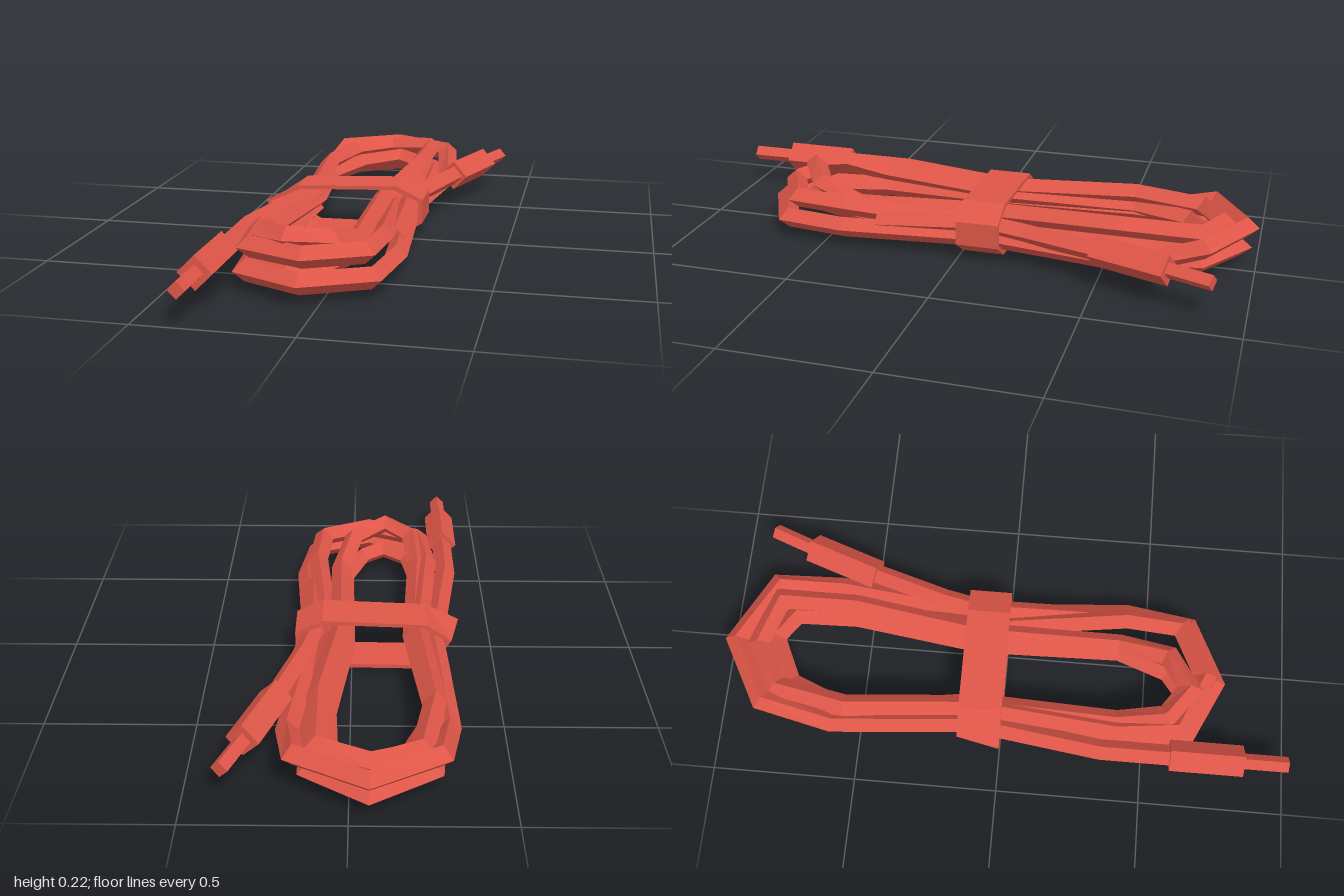
import * as THREE from 'three';

const red = new THREE.MeshStandardMaterial({ color: 0xde5648, flatShading: true });
red.name = 'red';

// Sweeps a diamond section along [x, y, z] points, mitred at every bend, with capped ends
function diamondTube(name, pts, radius) {
  const P = pts.map((p) => new THREE.Vector3(...p));
  const up = new THREE.Vector3(0, 1, 0);
  const pos = [];
  const idx = [];
  const n = P.length;
  P.forEach((p, i) => {
    const a = p.clone().sub(P[Math.max(i - 1, 0)]).normalize();
    const b = P[Math.min(i + 1, n - 1)].clone().sub(p).normalize();
    const t = a.clone().add(b).normalize();
    const side = up.clone().cross(t).normalize();
    const top = t.clone().cross(side).normalize();
    const mitre = i > 0 && i < n - 1 ? 1 / Math.max(t.dot(b), 0.75) : 1;
    for (const [u, v] of [[1, 0], [0, 1], [-1, 0], [0, -1]]) {
      const q = p.clone().addScaledVector(side, u * radius * mitre).addScaledVector(top, v * radius);
      pos.push(q.x, q.y, q.z);
    }
  });
  for (let i = 0; i < n - 1; i++) {
    for (let k = 0; k < 4; k++) {
      const a = i * 4 + k, b = i * 4 + ((k + 1) % 4);
      idx.push(a, b, b + 4, a, b + 4, a + 4);
    }
  }
  const e = (n - 1) * 4;
  idx.push(0, 2, 1, 0, 3, 2, e, e + 1, e + 2, e, e + 2, e + 3);
  const g = new THREE.BufferGeometry();
  g.setAttribute('position', new THREE.Float32BufferAttribute(pos, 3));
  g.setIndex(idx);
  const flat = g.toNonIndexed();
  flat.computeVertexNormals();
  const mesh = new THREE.Mesh(flat, red);
  mesh.name = name;
  return mesh;
}

// Plug body with a thin tip, pointing from one end to the other
function plug(name, from, shoulder, tip) {
  const g = new THREE.Group();
  g.name = name;
  g.add(diamondTube(name + 'Body', [from, shoulder], 0.056));
  g.add(diamondTube(name + 'Tip', [shoulder, tip], 0.028));
  return g;
}

export function createModel() {
  const model = new THREE.Group();
  model.name = 'coiledCable';

  // Outer turn, starting at the front plug
  const outerTurn = [
    [-0.35, 0.115, 0.6], [-0.35, 0.115, 0.35], [-0.285, 0.1, -0.1], [-0.315, 0.065, -0.6],
    [-0.275, 0.135, -0.84], [-0.06, 0.135, -0.96], [0.165, 0.135, -0.84], [0.198, 0.068, -0.62],
    [0.135, 0.075, -0.1], [0.178, 0.07, 0.42], [0.145, 0.068, 0.645], [-0.06, 0.068, 0.743],
    [-0.26, 0.065, 0.645], [-0.285, 0.065, 0.4],
  ];
  // Middle turns
  const middleTurns = [
    [-0.24, 0.07, -0.1], [-0.275, 0.065, -0.55], [-0.25, 0.062, -0.82], [-0.06, 0.062, -0.938],
    [0.12, 0.062, -0.82], [0.125, 0.045, -0.55], [0.08, 0.09, -0.1], [0.135, 0.135, 0.42],
    [0.118, 0.138, 0.615], [-0.06, 0.138, 0.7], [-0.255, 0.135, 0.615], [-0.28, 0.135, 0.4],
    [-0.23, 0.125, -0.1], [-0.27, 0.135, -0.55], [-0.22, 0.13, -0.8], [-0.07, 0.14, -0.88],
    [0.1, 0.155, -0.82], [0.1, 0.155, -0.55], [0.04, 0.13, -0.1],
  ];
  // Inner turn, rising at the front and ending under the strap
  const innerTurn = [
    [0.045, 0.11, 0.4], [0.0, 0.155, 0.57], [-0.125, 0.181, 0.645], [-0.225, 0.165, 0.57],
    [-0.245, 0.13, 0.4], [-0.215, 0.1, -0.1], [-0.275, 0.08, -0.55], [-0.19, 0.085, -0.76],
    [-0.03, 0.1, -0.835], [0.07, 0.09, -0.77], [0.08, 0.08, -0.55], [0.025, 0.06, -0.1],
    [0.035, 0.065, 0.4], [-0.03, 0.065, 0.58], [-0.12, 0.065, 0.65], [-0.22, 0.065, 0.57],
    [-0.245, 0.07, 0.4], [-0.22, 0.075, -0.08],
  ];
  model.add(diamondTube('cableCoil', [...outerTurn, ...middleTurns, ...innerTurn], 0.037));

  // Free end running from under the strap to the back plug
  model.add(diamondTube('cableLead', [[0.15, 0.095, 0.3], [0.135, 0.12, -0.1], [0.165, 0.117, -0.24], [0.245, 0.117, -0.51]], 0.036));

  model.add(plug('frontPlug', [-0.35, 0.115, 0.59], [-0.35, 0.115, 0.845], [-0.35, 0.115, 1]));
  model.add(plug('backPlug', [0.238, 0.117, -0.495], [0.325, 0.117, -0.745], [0.38, 0.117, -0.89]));

  // Strap: a closed band around the middle, slanted on its left end
  const outline = [[-0.22, 0], [0.11, 0.004], [0.195, 0.06], [0.195, 0.145], [0.1, 0.19], [-0.26, 0.175], [-0.36, 0.115], [-0.32, 0.05]];
  const cx = -0.08, cy = 0.095;
  const shape = new THREE.Shape(outline.map(([x, y]) => new THREE.Vector2(x, y)));
  shape.holes.push(new THREE.Path(outline.map(([x, y]) =>
    new THREE.Vector2(cx + (x - cx) * 0.94, cy + (y - cy) * 0.85)).reverse()));
  const band = new THREE.ExtrudeGeometry(shape, { depth: 0.15, bevelEnabled: false });
  band.translate(0, 0, -0.15);
  const p = band.attributes.position;
  for (let i = 0; i < p.count; i++) {
    if (p.getX(i) < -0.3) p.setX(i, p.getX(i) + (p.getZ(i) > -0.07 ? -0.018 : 0.014));
  }
  band.computeVertexNormals();
  const strap = new THREE.Mesh(band, red);
  strap.name = 'strap';
  model.add(strap);

  return model;
}
